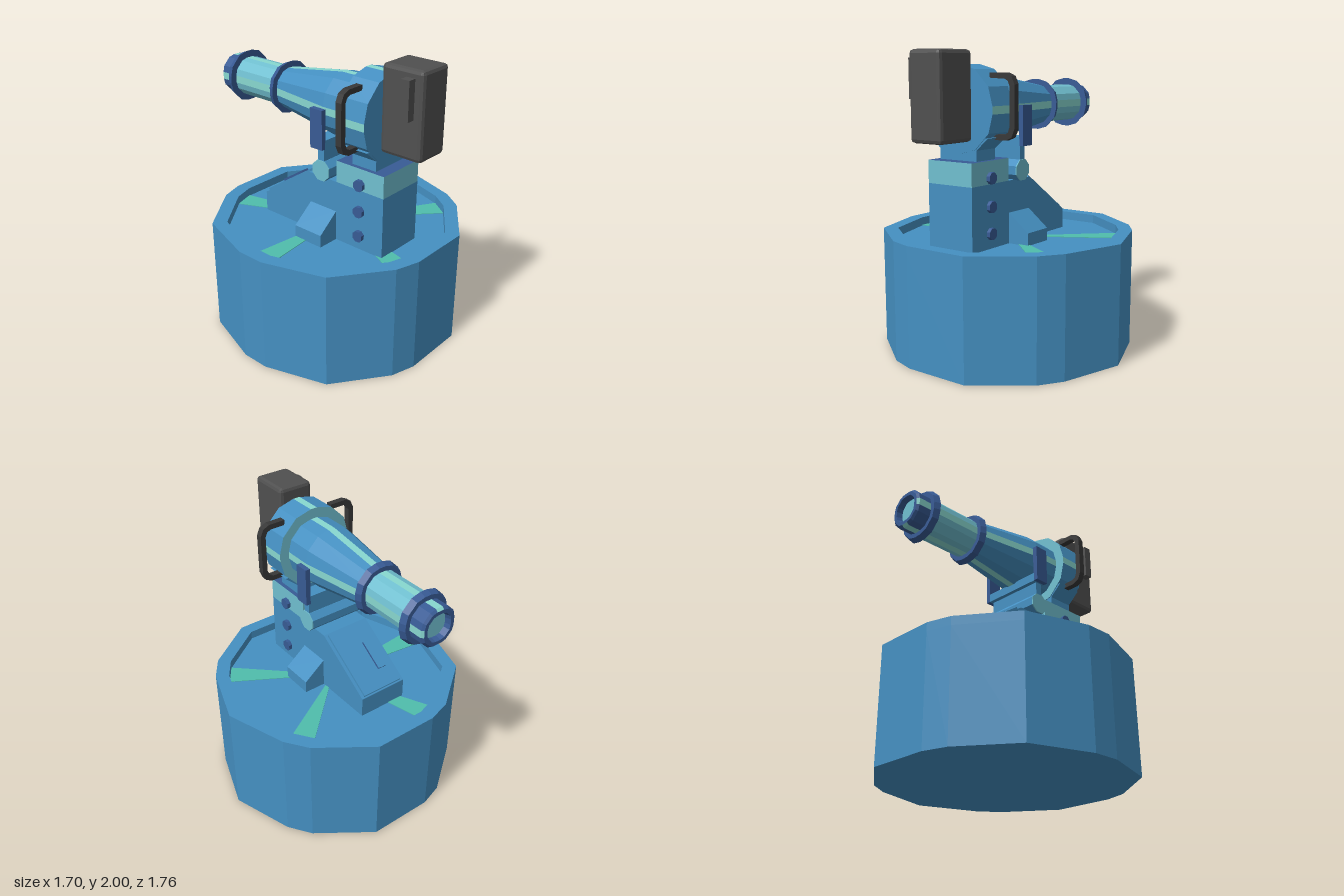
import * as THREE from 'three';
import { RoundedBoxGeometry } from 'three/addons/geometries/RoundedBoxGeometry.js';

const paint = (name, color) => Object.assign(new THREE.MeshStandardMaterial({ color, flatShading: true }), { name });

export function createModel() {
  const blue = paint('blue', 0x4590c2), indigo = paint('indigo', 0x385b95);
  const cyan = paint('cyan', 0x70bfd0), mint = paint('mint stripe', 0x88d8d0);
  const teal = paint('teal', 0x4fbdac), charcoal = paint('charcoal', 0x505050);
  const black = paint('black', 0x383838);

  const model = new THREE.Group();
  const gun = new THREE.Group();
  gun.name = 'turret';
  gun.position.x = -0.065;
  model.add(gun);

  const add = (parent, name, geo, mat, x = 0, y = 0, z = 0) => {
    const m = new THREE.Mesh(geo, mat);
    m.name = name;
    m.position.set(x, y, z);
    parent.add(m);
    return m;
  };
  const box = (parent, name, mat, w, h, d, x, y, z) =>
    add(parent, name, new THREE.BoxGeometry(w, h, d), mat, x, y, z);
  const shapeOf = (pts) => new THREE.Shape(pts.map(([x, y]) => new THREE.Vector2(x, y)));
  const extrude = (shape, depth) => new THREE.ExtrudeGeometry(shape, { depth, bevelEnabled: false });

  // Fifteen-sided base with a sunken floor
  const half = [[0.85, 0], [0.71, 0.42], [0.605, 0.57], [0.25, 0.825], [-0.2, 0.825],
    [-0.365, 0.775], [-0.715, 0.515], [-0.85, 0.095]];
  const outline = [...half, ...half.slice(1).reverse().map(([x, y]) => [x, -y])];
  const inner = outline.map(([x, y]) => [x * 0.887, y * 0.887]);
  const floorY = 0.74;
  const upright = (shape, h) => extrude(shape, h).rotateX(-Math.PI / 2);
  add(model, 'base', upright(shapeOf(outline), floorY), blue, 0, 0, 0.055);
  const rim = shapeOf(outline);
  rim.holes.push(shapeOf(inner));
  add(model, 'baseRim', upright(rim, 0.8 - floorY), blue, 0, floorY, 0.055);

  // Wedge markings from the short edges to the middle of the floor
  for (const i of [1, 4, 7, 10, 13]) {
    add(model, 'floorWedge', upright(shapeOf([[0, 0], inner[i], inner[i + 1]]), 0.004), teal, 0, floorY, 0.055);
  }

  // Pedestal, drawn as a side profile of [z, y] and extruded across x
  const across = (pts, w) => extrude(shapeOf(pts.map(([z, y]) => [-z, y])), w)
    .rotateY(Math.PI / 2).translate(-w / 2, 0, 0);
  add(gun, 'pedestal', across([[0.62, floorY], [-0.42, floorY], [-0.42, 0.88], [0, 1.16], [0.62, 1.16]], 0.355), blue);
  box(gun, 'pedestalBand', [cyan, cyan, indigo, cyan, cyan, cyan], 0.355, 0.15, 0.38, 0, 1.235, 0.43);

  // Control panel on the sloping back
  const panel = new THREE.Group();
  panel.name = 'controlPanel';
  panel.position.set(0, 1.02, -0.21);
  panel.rotation.x = -Math.atan2(0.28, 0.42);
  gun.add(panel);
  box(panel, 'panelPlate', blue, 0.31, 0.03, 0.48, 0, 0, 0);
  box(panel, 'panelSwitch', [indigo, indigo, blue, indigo, indigo, indigo], 0.06, 0.03, 0.21, -0.07, 0.015, -0.01);

  for (const s of [-1, 1]) {
    // Bolts
    for (const y of [0.84, 1.015, 1.2]) {
      add(gun, 'bolt', new THREE.CylinderGeometry(0.04, 0.04, 0.03, 8).rotateY(Math.PI / 8).rotateZ(Math.PI / 2),
        indigo, s * 0.188, y, 0.435);
    }
    // Sloping foot
    const foot = shapeOf([[s * 0.17, floorY], [s * 0.33, floorY], [s * 0.33, 0.825], [s * 0.17, 0.952]]);
    add(gun, 'sideFoot', extrude(foot, 0.225), blue, 0, 0, 0.01);
    // Cradle cheek and axle cap
    box(gun, 'cradleCheek', indigo, 0.035, 0.265, 0.1, s * 0.238, 1.518, 0.135);
    add(gun, 'axleCap', new THREE.CylinderGeometry(0.075, 0.075, 0.008, 8).rotateY(Math.PI / 8).rotateZ(Math.PI / 2),
      cyan, s * 0.217, 1.225, 0.14);
    // Carry handle
    const grip = [[0.19, 1.86], [0.31, 1.86], [0.355, 1.84], [0.378, 1.79], [0.378, 1.52], [0.355, 1.465],
      [0.31, 1.445], [0.19, 1.445], [0.19, 1.48], [0.3, 1.48], [0.328, 1.495], [0.341, 1.53],
      [0.341, 1.78], [0.328, 1.81], [0.3, 1.825], [0.19, 1.825]];
    add(gun, 'handle', extrude(shapeOf(grip.map(([x, y]) => [x * s, y])), 0.045), black, 0, 0, 0.405);
  }

  // Cradle under the barrel
  add(gun, 'axle', new THREE.CylinderGeometry(0.075, 0.075, 0.43, 8).rotateY(Math.PI / 8).rotateZ(Math.PI / 2),
    blue, 0, 1.225, 0.14);
  box(gun, 'cradleStem', blue, 0.43, 0.12, 0.05, 0, 1.33, 0.14);
  box(gun, 'cradleBar', blue, 0.45, 0.06, 0.1, 0, 1.415, 0.135);

  // Neck flaring up to the collar
  const neck = shapeOf([[-0.148, 1.3], [0.148, 1.3], [0.148, 1.38], [0.24, 1.46], [-0.24, 1.46], [-0.148, 1.38]]);
  add(gun, 'neck', extrude(neck, 0.19), blue, 0, 0, 0.345);

  // Twelve-sided barrel lofted along z; its four axis corners are narrow flat stripes
  const section = ([z, r]) => {
    const pts = [];
    const w = Math.min(0.025, r * 0.2);
    for (let q = 0; q < 4; q++) {
      const a = q * Math.PI / 2, e = r - w * 0.27;
      for (const [u, v] of [[e, -w], [e, w], [r * 0.866, r * 0.5], [r * 0.5, r * 0.866]]) {
        pts.push([u * Math.cos(a) - v * Math.sin(a), u * Math.sin(a) + v * Math.cos(a), z]);
      }
    }
    return pts;
  };
  const loft = (name, mat, profile, striped = false) => {
    const faces = [[], []];
    for (let i = 0; i + 1 < profile.length; i++) {
      const A = section(profile[i]), B = section(profile[i + 1]);
      const runs = profile[i][0] !== profile[i + 1][0];
      for (let j = 0; j < 16; j++) {
        const k = (j + 1) % 16;
        faces[striped && runs && j % 4 === 0 ? 1 : 0].push(...A[j], ...B[j], ...A[k], ...A[k], ...B[j], ...B[k]);
      }
    }
    faces.forEach((f, n) => {
      if (!f.length) return;
      const g = new THREE.BufferGeometry();
      g.setAttribute('position', new THREE.Float32BufferAttribute(f, 3));
      g.computeVertexNormals();
      add(gun, n ? name + 'Stripes' : name, g, n ? mint : mat, 0, 1.633, 0);
    });
  };
  loft('collar', blue, [[0.54, 0], [0.54, 0.286], [0.34, 0.286]], true);
  loft('collarBack', cyan, [[0.34, 0.286], [0.34, 0.2]]);
  loft('barrel', blue, [[0.34, 0.215], [0.15, 0.215], [-0.33, 0.143]], true);
  loft('barrelTip', cyan, [[-0.36, 0.137], [-0.74, 0.137]], true);
  for (const z of [-0.325, -0.73]) {
    loft('barrelRing', indigo, [[z, 0.1], [z, 0.184], [z - 0.042, 0.168], [z - 0.042, 0.1]]);
  }
  loft('muzzle', indigo, [[-0.77, 0.137], [-0.865, 0.137], [-0.88, 0.122]], true);
  loft('muzzleLip', indigo, [[-0.88, 0.122], [-0.88, 0.097], [-0.84, 0.087]]);
  loft('lens', cyan, [[-0.84, 0.087], [-0.84, 0]]);

  // Front box with its side latch
  add(gun, 'frontBox', new RoundedBoxGeometry(0.25, 0.565, 0.3, 1, 0.025), charcoal, 0, 1.7175, 0.69);
  box(gun, 'frontBoxLatch', charcoal, 0.06, 0.25, 0.06, -0.15, 1.825, 0.75);

  return model;
}
